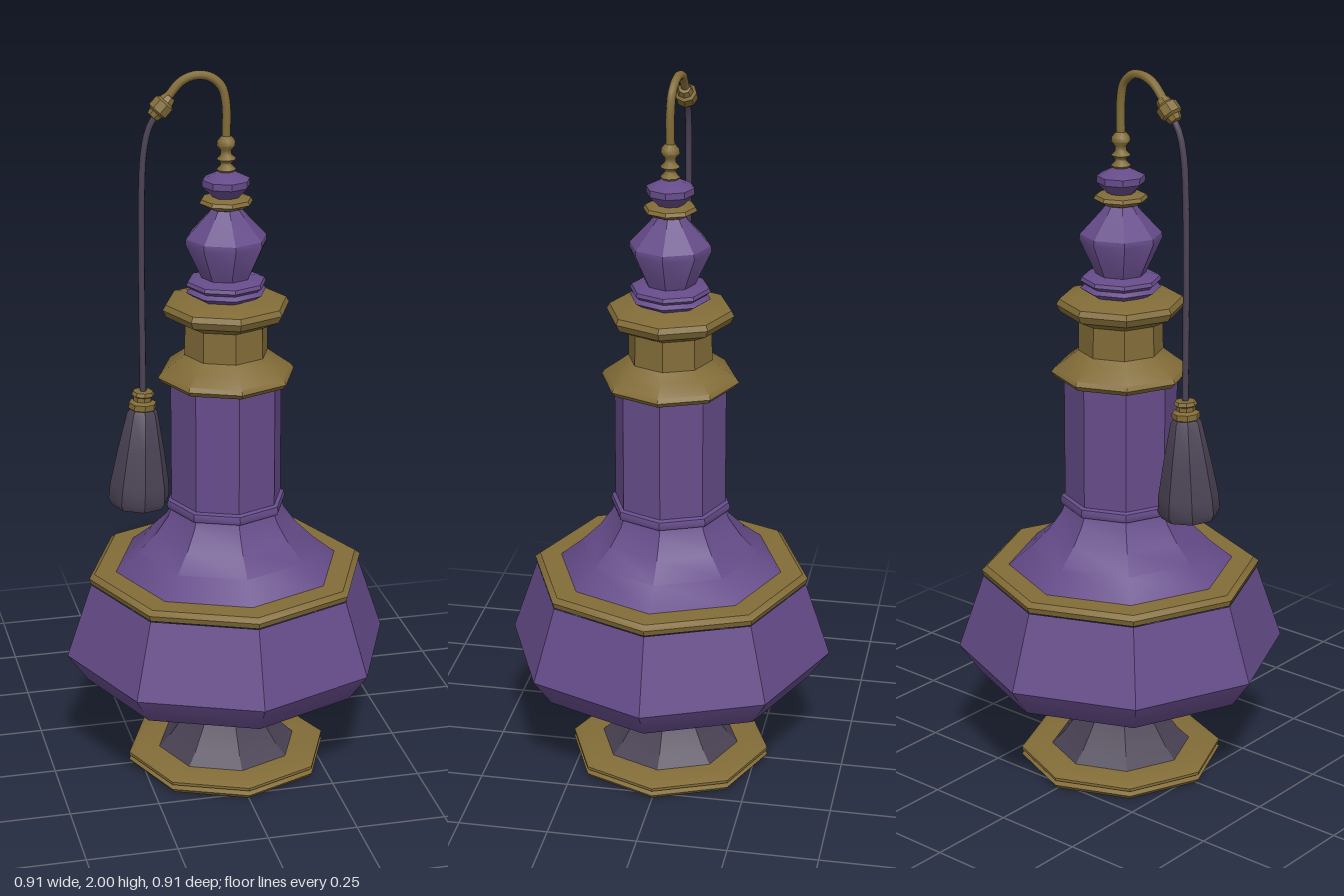
import * as THREE from 'three';
import { toCreasedNormals } from 'three/addons/utils/BufferGeometryUtils.js';

const purple = new THREE.MeshStandardMaterial({ color: 0x664c8a });
const gold = new THREE.MeshStandardMaterial({ color: 0x826c38 });
const dark = new THREE.MeshStandardMaterial({ color: 0x4a4254 });

// Smooth gentle bends, keep sharp ones; enlarged meanwhile because the crease test merges nearby points
function crease(geometry, degrees = 32) {
  geometry.scale(100, 100, 100);
  const creased = toCreasedNormals(geometry, THREE.MathUtils.degToRad(degrees));
  creased.scale(0.01, 0.01, 0.01);
  return creased;
}

// Octagonal turned part; the profile lists [radius, height] from bottom to top
function turned(name, material, profile, degrees) {
  const points = profile.map(([r, y]) => new THREE.Vector2(r, y));
  const mesh = new THREE.Mesh(crease(new THREE.LatheGeometry(points, 8), degrees), material);
  mesh.name = name;
  return mesh;
}

// Round tube through a few points
function tube(name, material, points, radius, segments) {
  const curve = new THREE.CatmullRomCurve3(points.map((p) => new THREE.Vector3(...p)));
  const mesh = new THREE.Mesh(new THREE.TubeGeometry(curve, segments, radius, 8), material);
  mesh.name = name;
  return mesh;
}

export function createModel() {
  const model = new THREE.Group();
  model.name = 'perfumeBottle';

  // Foot and pedestal
  model.add(turned('footPlate', gold, [
    [0, 0], [0.275, 0], [0.285, 0.012], [0.272, 0.02], [0.284, 0.026], [0.284, 0.034], [0.265, 0.042], [0.15, 0.044],
  ]));
  model.add(turned('pedestal', dark, [
    [0.2, 0.04], [0.165, 0.075], [0.125, 0.13], [0.088, 0.19], [0.075, 0.22],
  ]));

  // Body, its gold shoulder band and the neck
  model.add(turned('body', purple, [
    [0, 0.21], [0.24, 0.21], [0.4, 0.28], [0.456, 0.36], [0.385, 0.57],
  ]));
  model.add(turned('shoulderBand', gold, [
    [0.37, 0.568], [0.385, 0.572], [0.39, 0.588], [0.375, 0.6], [0.31, 0.602],
  ]));
  model.add(turned('shoulder', purple, [
    [0.316, 0.6], [0.25, 0.655], [0.2, 0.705], [0.165, 0.755], [0.153, 0.785],
  ]));
  model.add(turned('neckRing', purple, [
    [0.15, 0.775], [0.165, 0.78], [0.168, 0.79], [0.165, 0.803], [0.15, 0.81],
  ]));
  model.add(turned('neck', purple, [[0.155, 0.79], [0.155, 1.16]]));

  // Gold collar and rim
  model.add(turned('collar', gold, [
    [0.15, 1.148], [0.178, 1.15], [0.19, 1.164], [0.182, 1.176], [0.142, 1.205], [0.116, 1.225],
    [0.114, 1.31], [0.135, 1.32], [0.165, 1.335], [0.175, 1.355], [0.167, 1.37], [0.1, 1.385], [0, 1.385],
  ]));

  // Stopper
  model.add(turned('stopperBase', purple, [
    [0.07, 1.38], [0.088, 1.385], [0.11, 1.4], [0.098, 1.41], [0.11, 1.42], [0.106, 1.43], [0.06, 1.442], [0, 1.442],
  ]));
  model.add(turned('stopperBulb', purple, [
    [0.066, 1.435], [0.112, 1.535], [0.11, 1.55], [0.055, 1.61], [0.035, 1.635],
  ]));
  model.add(turned('stopperDisc', gold, [
    [0.03, 1.625], [0.052, 1.632], [0.073, 1.645], [0.068, 1.655], [0.03, 1.662],
  ]));
  model.add(turned('stopperCrown', purple, [
    [0.036, 1.66], [0.065, 1.69], [0.065, 1.708], [0.02, 1.73], [0, 1.73],
  ]));
  model.add(turned('finial', gold, [
    [0.018, 1.725], [0.027, 1.735], [0.015, 1.748], [0.015, 1.753], [0.027, 1.763], [0.015, 1.775],
    [0.015, 1.787], [0.026, 1.8], [0.024, 1.813], [0.013, 1.825],
  ], 60));

  // Curved spout with its ferrule
  model.add(tube('spout', gold, [
    [0, 1.81, 0], [0, 1.91, 0], [-0.012, 1.957, -0.002], [-0.042, 1.983, -0.006],
    [-0.08, 1.988, -0.01], [-0.118, 1.973, -0.012], [-0.155, 1.932, -0.012],
  ], 0.012, 28));
  const ferrule = turned('ferrule', gold, [
    [0, -0.038], [0.018, -0.036], [0.022, -0.022], [0.03, -0.016], [0.03, 0.012], [0.022, 0.018], [0.017, 0.034], [0, 0.036],
  ]);
  ferrule.position.set(-0.17, 1.91, -0.011);
  ferrule.rotation.z = -0.75;
  model.add(ferrule);

  // Hanging cord
  model.add(tube('cord', dark, [
    [-0.178, 1.9, -0.011], [-0.205, 1.855, -0.01], [-0.22, 1.79, -0.009], [-0.227, 1.68, -0.008],
    [-0.23, 1.45, -0.007], [-0.23, 1.11, -0.006],
  ], 0.009, 32));

  // Tassel, hung with a slight tilt
  const tassel = new THREE.Group();
  tassel.name = 'tassel';
  tassel.add(turned('tasselCap', gold, [
    [0.03, -0.035], [0.038, -0.028], [0.038, -0.012], [0.026, -0.006], [0.026, 0.006], [0.032, 0.01], [0.028, 0.02], [0, 0.022],
  ]));
  tassel.add(turned('tasselSkirt', dark, [
    [0, -0.308], [0.076, -0.308], [0.085, -0.29], [0.082, -0.245], [0.065, -0.15], [0.042, -0.04], [0.03, -0.025],
  ]));
  tassel.position.set(-0.231, 1.108, -0.006);
  tassel.rotation.z = -0.05;
  model.add(tassel);

  return model;
}
